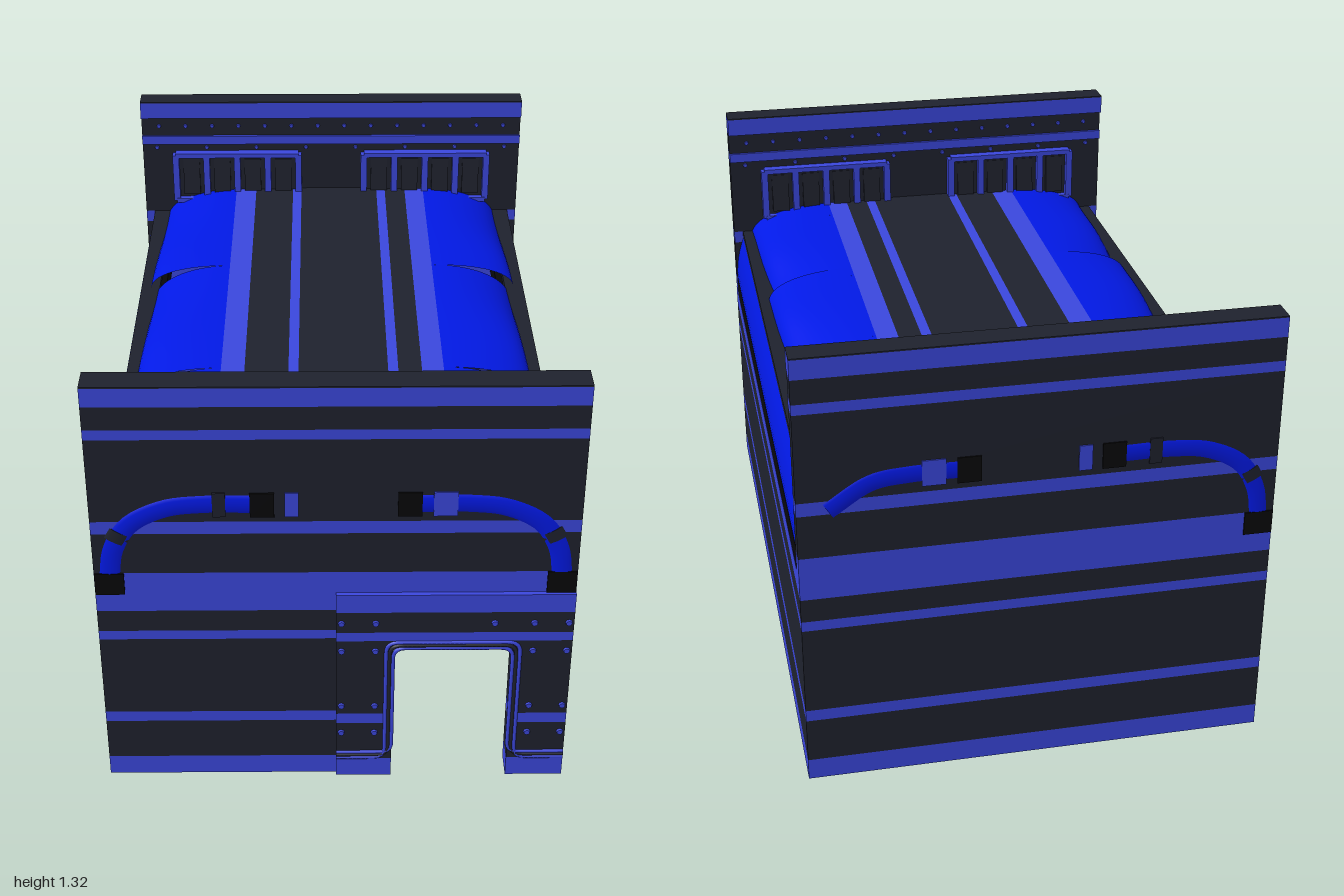
import * as THREE from 'three';

const mat = (color, side = THREE.FrontSide) => new THREE.MeshStandardMaterial({ color, side });
const DARK = mat(0x1f222e), LIGHT = mat(0x3b47de), BLUE = mat(0x0219e6, THREE.DoubleSide), BLACK = mat(0x08080a);
const V = (x, y, z) => new THREE.Vector3(x, y, z);

// horizontal courses shared by every wall: [bottom, top, material]
const COURSES = [
  [0, 0.065, LIGHT], [0.065, 0.2, DARK], [0.2, 0.235, LIGHT], [0.235, 0.5, DARK], [0.5, 0.53, LIGHT],
  [0.53, 0.6, DARK], [0.6, 0.73, LIGHT], [0.73, 0.86, DARK], [0.86, 0.9, LIGHT], [0.9, 1.16, DARK],
  [1.16, 1.19, LIGHT], [1.19, 1.26, DARK], [1.26, 1.316, LIGHT], [1.316, 1.32, DARK],
];

function add(parent, name, geo, material) {
  const m = new THREE.Mesh(geo, material);
  m.name = name;
  parent.add(m);
  return m;
}

// box given by its limits
function box(parent, name, material, x0, x1, y0, y1, z0, z1) {
  const m = add(parent, name, new THREE.BoxGeometry(x1 - x0, y1 - y0, z1 - z0), material);
  m.position.set((x0 + x1) / 2, (y0 + y1) / 2, (z0 + z1) / 2);
  return m;
}

// wall of stacked coloured courses between two heights
function wall(parent, name, x0, x1, z0, z1, y0, y1) {
  const g = new THREE.Group();
  g.name = name;
  for (const [a, b, m] of COURSES) {
    const lo = Math.max(a, y0), hi = Math.min(b, y1);
    if (hi - lo > 1e-4) box(g, name + 'Course', m, x0, x1, lo, hi, z0, z1);
  }
  parent.add(g);
}

// low round rivet pointing along dir
function rivet(parent, pos, dir, r = 0.0105) {
  const m = add(parent, 'rivet', new THREE.CylinderGeometry(r * 0.8, r, 0.008, 8), LIGHT);
  m.position.copy(pos);
  m.quaternion.setFromUnitVectors(V(0, 1, 0), dir);
}

// framed grille with four dark slots, built facing +z
function vent(parent, w, h) {
  const g = new THREE.Group();
  g.name = 'ventGrille';
  box(g, 'ventBack', DARK, -w / 2, w / 2, -h / 2, h / 2, 0, 0.01);
  for (const s of [-1, 1]) box(g, 'ventRail', LIGHT, -w / 2, w / 2, s * h / 2 - 0.008, s * h / 2 + 0.008, 0, 0.032);
  for (let i = 0; i <= 4; i++) {
    const x = -w / 2 + (w * i) / 4;
    box(g, 'ventBar', LIGHT, x - 0.011, x + 0.011, -h / 2, h / 2, 0, 0.03);
    if (i < 4) {
      const slat = box(g, 'ventSlat', DARK, x + 0.025, x + w / 4 - 0.025, -h / 2 + 0.02, h / 2 - 0.02, 0.006, 0.018);
      slat.rotation.x = -0.08;
    }
  }
  parent.add(g);
  return g;
}

// dark window in a light frame, lying in a z plane
function slotWindow(parent, x0, x1, y0, y1, z0, z1) {
  box(parent, 'windowFrame', LIGHT, x0, x1, y0, y1, z0 + 0.003, z1 - 0.003);
  box(parent, 'windowPane', BLACK, x0 + 0.008, x1 - 0.008, y0 + 0.008, y1 - 0.008, z0, z1);
}

// surface from a rule fn(u, v)
function sheet(fn, nu, nv) {
  const geo = new THREE.PlaneGeometry(1, 1, nu, nv), p = geo.attributes.position, uv = geo.attributes.uv;
  for (let i = 0; i < p.count; i++) p.setXYZ(i, ...fn(uv.getX(i), uv.getY(i)));
  geo.computeVertexNormals();
  return geo;
}

// polyline with rounded corners
function roundedPath(pts, r) {
  const path = new THREE.CurvePath();
  let from = pts[0];
  for (let i = 1; i < pts.length - 1; i++) {
    const c = pts[i];
    const a = c.clone().add(pts[i - 1].clone().sub(c).setLength(r));
    const b = c.clone().add(pts[i + 1].clone().sub(c).setLength(r));
    path.add(new THREE.LineCurve3(from, a));
    path.add(new THREE.QuadraticBezierCurve3(a, c, b));
    from = b;
  }
  path.add(new THREE.LineCurve3(from, pts[pts.length - 1]));
  return path;
}

// flattened pipes with clamps on an outer end face; e = 1 front, -1 back
function endPipes(root, e) {
  const face = e > 0 ? 0.985 : 1;
  for (const s of [-1, 1]) {
    const hidden = e < 0 && s > 0; // this leg runs inside the wall
    const legs = hidden ? [[0.575, 0.87]] : [[0.617, 0.72], [0.602, 0.81], [0.555, 0.89]];
    const pts = [...legs, [0.46, 0.942], [0.36, 0.956], [0.22, 0.956]].map(([x, y]) => V(x * s, y, 0));
    const tube = add(root, 'endPipe', new THREE.TubeGeometry(new THREE.CatmullRomCurve3(pts), 28, 0.037, 12), BLUE);
    tube.scale.z = 0.35;
    tube.position.z = e * (face - 0.013);
    const clamp = (m, a, b, y0, y1) => {
      const c = box(root, 'pipeClamp', m, a, b, y0, y1, face - 0.03, face);
      c.position.x *= s;
      c.position.z *= e;
    };
    clamp(BLACK, 0.165, 0.23, 0.917, 0.993);
    if (s > 0) clamp(LIGHT, 0.26, 0.325, 0.918, 0.994);
    else {
      clamp(DARK, 0.295, 0.33, 0.918, 0.994);
      clamp(LIGHT, 0.1, 0.137, 0.918, 0.993);
    }
    if (hidden) continue;
    clamp(BLACK, 0.578, 0.659, 0.66, 0.73);
    const ring = add(root, 'pipeElbowRing', new THREE.CylinderGeometry(0.04, 0.04, 0.035, 12), DARK);
    ring.scale.z = 0.34;
    ring.position.set(s * 0.588, 0.85, e * (face - 0.013));
    ring.rotation.z = s * 0.5;
  }
}

export function createModel() {
  const root = new THREE.Group();
  root.name = 'bunkBed';

  // long side walls
  for (const s of [-1, 1]) {
    const xs = s > 0 ? [0.59, 0.66] : [-0.66, -0.59];
    wall(root, 'sideWall', ...xs, -0.945, 0.925, 0, 0.66);
    for (const z of [-0.9, -0.36, -0.24, 0.9]) rivet(root, V(s * 0.588, 0.08, z), V(-s, 0, 0));
    for (let i = 0; i < 9; i++) rivet(root, V(s * 0.588, 0.565, -0.85 + i * 0.21), V(-s, 0, 0));
  }

  // back wall, and front wall split around the doorway
  wall(root, 'backWall', -0.66, 0.66, -0.996, -0.94, 0, 1.32);
  wall(root, 'frontWallLeft', -0.66, 0.16, 0.915, 0.98, 0, 0.48);
  wall(root, 'frontWallRight', 0.495, 0.66, 0.915, 0.98, 0, 0.48);
  wall(root, 'frontWallUpper', -0.66, 0.66, 0.92, 0.98, 0.48, 1.32);

  // caps, ledges, vents and rivets on the inner faces of the end walls
  for (const s of [-1, 1]) {
    const zIn = s > 0 ? 0.92 : -0.94, dir = V(0, 0, -s);
    const ledge = (name, m, y0, y1, d) =>
      box(root, name, m, -0.66, 0.66, y0, y1, Math.min(zIn, zIn - s * d), Math.max(zIn, zIn - s * d));
    ledge('wallCap', LIGHT, 1.26, 1.316, 0.018);
    ledge('wallCapTop', DARK, 1.316, 1.32, 0.018);
    ledge('wallBand', LIGHT, 1.16, 1.19, 0.01);
    for (const t of [-1, 1]) {
      const v = vent(root, 0.43, 0.17);
      v.position.set(t * 0.33, 1.04, zIn);
      if (s > 0) v.rotation.y = Math.PI;
    }
    for (let i = 0; i < 14; i++) rivet(root, V(-0.6 + i * 0.0923, 1.225, zIn - s * 0.002), dir, 0.008);
    for (let i = 0; i < 8; i++) rivet(root, V(-0.61 + i * 0.174, 1.145, zIn - s * 0.002), dir, 0.008);
    for (let i = 0; i < 10; i++) rivet(root, V(-0.54 + i * 0.12, 0.565, zIn - s * 0.002), dir);
  }

  // raised door panel on the front
  wall(root, 'doorPanelLeft', 0, 0.16, 0.98, 0.994, 0, 0.48);
  wall(root, 'doorPanelRight', 0.495, 0.66, 0.98, 0.994, 0, 0.48);
  wall(root, 'doorPanelTop', 0, 0.66, 0.98, 0.994, 0.48, 0.66);
  for (const x of [0.015, 0.11, 0.55, 0.645])
    for (const y of [0.165, 0.265, 0.465, 0.563]) rivet(root, V(x, y, 0.996), V(0, 0, 1));
  rivet(root, V(0.44, 0.563, 0.996), V(0, 0, 1));

  // triple moulding around the doorway
  for (const [o, m] of [[-0.01, LIGHT], [0, DARK], [0.01, LIGHT]]) {
    const z = 0.994;
    const path = roundedPath([V(0, 0.08 + o, z), V(0.15 + o, 0.08 + o, z), V(0.15 + o, 0.485 - o, z),
      V(0.505 - o, 0.485 - o, z), V(0.505 - o, 0.08 + o, z), V(0.66, 0.08 + o, z)], 0.035);
    add(root, 'doorMoulding', new THREE.TubeGeometry(path, 120, 0.006, 6), m);
  }

  // interior: partition, windows, side grilles and lever
  wall(root, 'partition', -0.59, 0.15, -0.34, -0.3, 0, 0.73);
  slotWindow(root, -0.56, -0.08, 0.25, 0.44, -0.35, -0.29);
  slotWindow(root, 0.18, 0.48, 0.28, 0.385, -0.945, -0.93);
  for (let i = 0; i < 6; i++) rivet(root, V(-0.52 + i * 0.125, 0.565, -0.342), V(0, 0, -1));
  const lever = add(root, 'doorLever', new THREE.SphereGeometry(1, 12, 8), LIGHT);
  lever.scale.set(0.011, 0.058, 0.011);
  lever.position.set(0.467, 0.218, -0.92);
  for (const z of [0.66, -0.64]) {
    const sideVent = vent(root, 0.44, 0.17);
    sideVent.rotation.y = Math.PI / 2;
    sideVent.position.set(-0.59, 0.38, z);
  }

  // flat striped middle of the cover, open to the room below
  const stripes = [[-0.335, -0.265, LIGHT], [-0.265, -0.135, DARK], [-0.135, -0.105, LIGHT], [-0.105, 0.16, DARK],
    [0.16, 0.19, LIGHT], [0.19, 0.26, DARK], [0.26, 0.325, LIGHT], [0.325, 0.335, BLUE]];
  for (const [a, b, m] of stripes) box(root, 'coverStripe', m, a, b, 0.965, 0.988, -0.945, 0.925);

  for (const s of [-1, 1]) {
    // quilted shoulders in three billowing lengths
    for (let k = 0; k < 3; k++) {
      const z0 = [-0.945, -0.34, 0.32][k], z1 = [-0.34, 0.32, 0.925][k];
      const fn = (u, v) => {
        const a = (u * Math.PI) / 2, w = 0.25 + 0.018 * v;
        const fullness = 0.95 - 0.3 * v + 0.15 * Math.sin(v * 6 + k);
        return [s * (0.333 + w * Math.sin(a)), 0.87 + 0.118 * Math.cos(a) ** fullness, z0 + (z1 - z0) * v];
      };
      add(root, 'quiltShoulder', sheet(fn, 16, 20), BLUE);
    }
    // side valance, ledge and hem
    const curve = (u, v) => [s * (0.658 - 0.03 * u * u), 0.73 + 0.15 * u, -0.945 + 1.87 * v];
    add(root, 'sideValance', sheet(curve, 6, 1), BLUE);
    const strip = (name, m, a, b, y0, y1) =>
      box(root, name, m, s > 0 ? a : -b, s > 0 ? b : -a, y0, y1, -0.945, 0.925);
    strip('sideLedge', DARK, 0.57, 0.63, 0.878, 0.9);
    strip('sideHem', BLACK, 0.58, 0.659, 0.66, 0.73);
  }

  endPipes(root, 1);
  endPipes(root, -1);
  return root;
}
